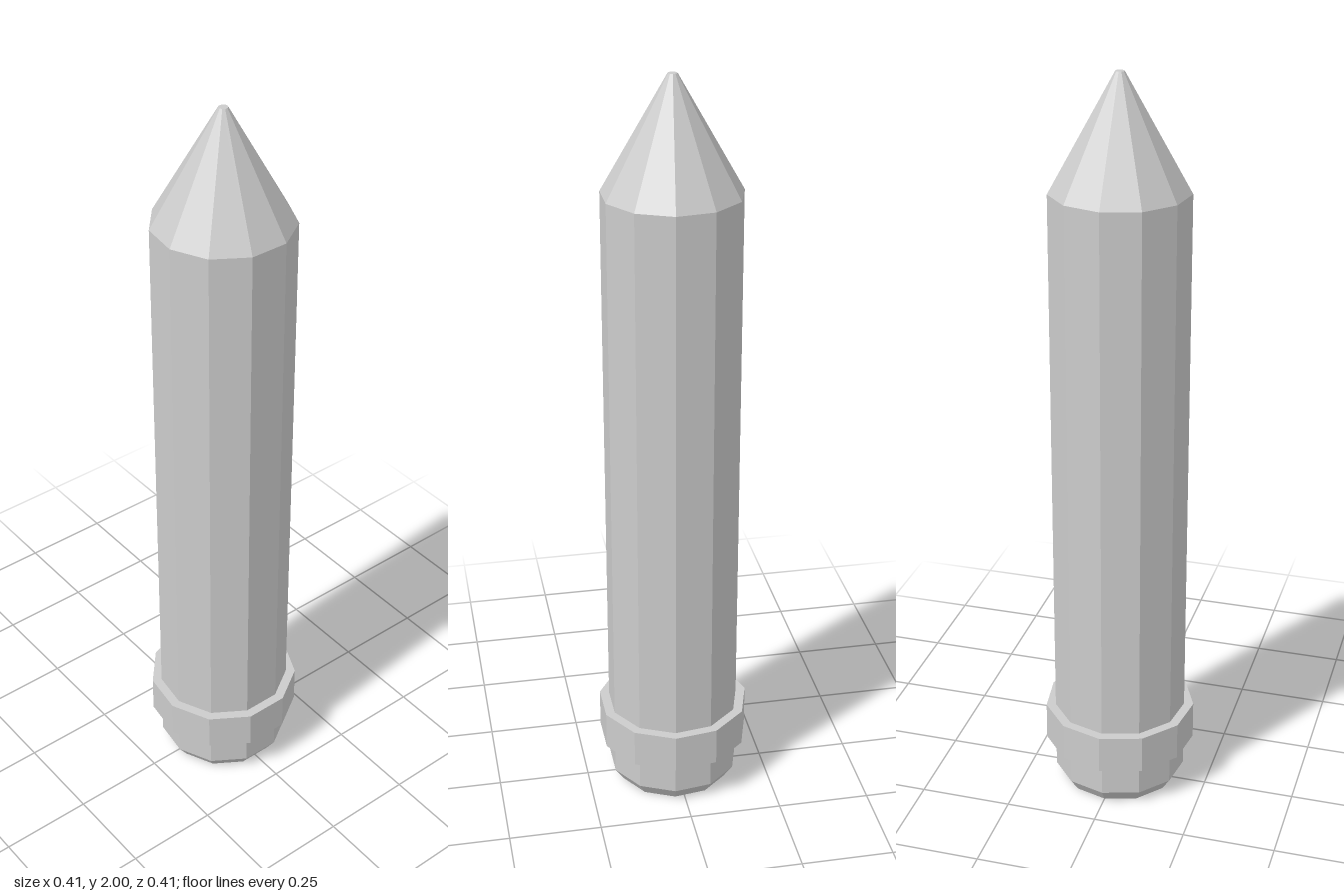
import * as THREE from 'three';

const SIDES = 11;
const CENTRE_Z = 0.004; // keeps the odd-sided outline centred on z = 0

export function createModel() {
  const group = new THREE.Group();
  const material = new THREE.MeshStandardMaterial({ color: 0xcccccc, flatShading: true });

  // Turns a [radius, height] profile into a faceted solid with a corner at the back
  function turned(name, profile) {
    const points = profile.map(([r, y]) => new THREE.Vector2(r, y));
    const mesh = new THREE.Mesh(new THREE.LatheGeometry(points, SIDES, Math.PI), material);
    mesh.name = name;
    mesh.position.z = CENTRE_Z;
    group.add(mesh);
  }

  // Shaft with bevelled foot and pointed tip
  turned('shaft', [[0, 0], [0.156, 0], [0.181, 0.037], [0.181, 1.703], [0.012, 2], [0, 2]]);

  // Raised band near the foot
  turned('collar', [[0.17, 0.127], [0.207, 0.127], [0.207, 0.232], [0.17, 0.232]]);

  return group;
}
